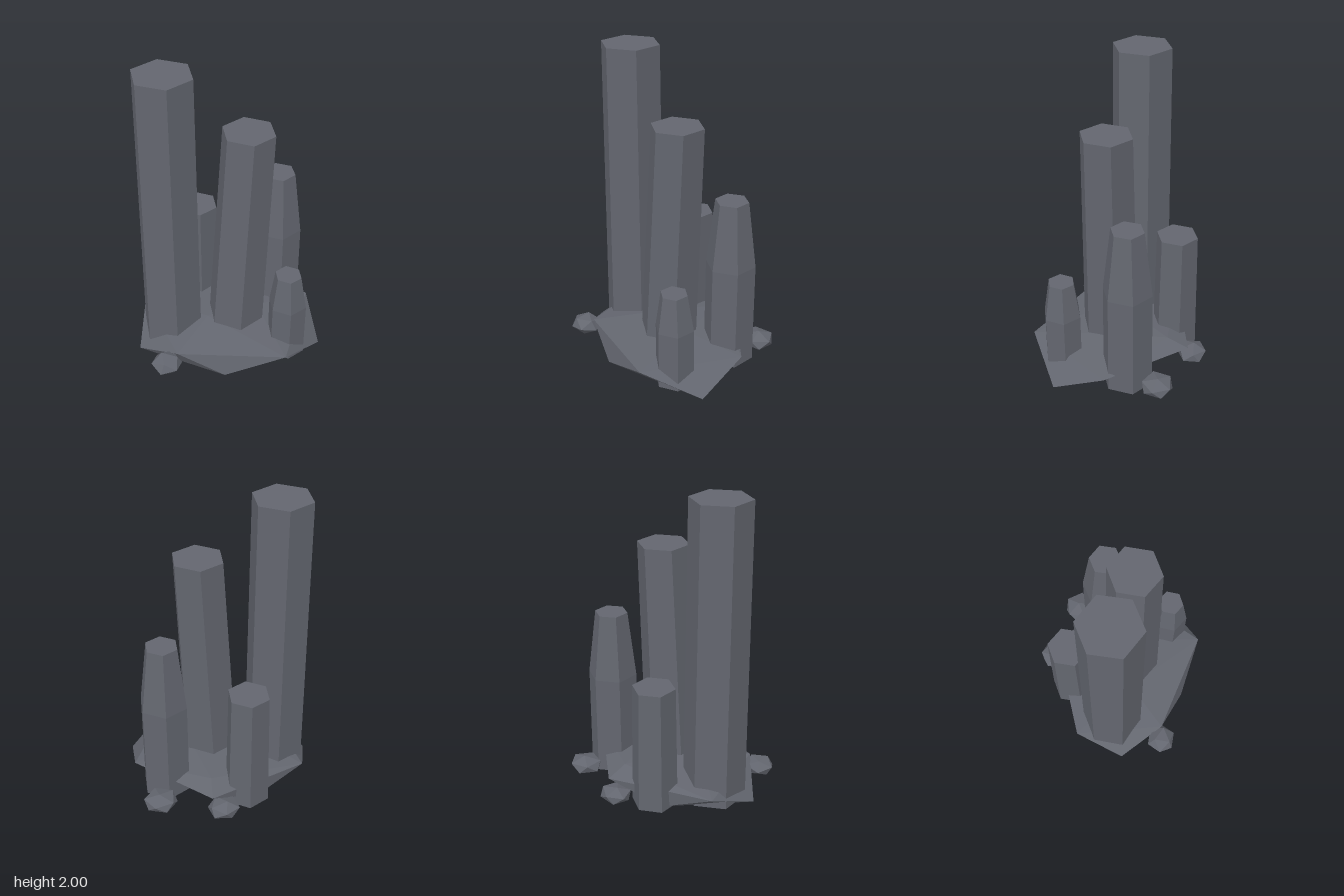
import * as THREE from 'three';
import { ConvexGeometry } from 'three/addons/geometries/ConvexGeometry.js';

const stone = new THREE.MeshStandardMaterial({ color: 0x63666f });
stone.name = 'slate grey stone';

// Facet a geometry so every face is flat
function faceted(geometry) {
  const flat = geometry.index ? geometry.toNonIndexed() : geometry;
  flat.computeVertexNormals();
  return flat;
}

function addPart(group, name, geometry) {
  const mesh = new THREE.Mesh(faceted(geometry), stone);
  mesh.name = name;
  group.add(mesh);
  return mesh;
}

// Six-sided column through rings [x, y, z, radius], listed from bottom to top
function column(rings, degrees) {
  const steps = rings.length - 1;
  const g = new THREE.CylinderGeometry(1, 1, steps, 6, steps);
  g.rotateY(THREE.MathUtils.degToRad(-30 - degrees));
  const p = g.attributes.position;
  for (let i = 0; i < p.count; i++) {
    const [x, y, z, r] = rings[Math.round(p.getY(i) + steps / 2)];
    p.setXYZ(i, x + p.getX(i) * r, y, z + p.getZ(i) * r);
  }
  return g;
}

export function createModel() {
  const group = new THREE.Group();
  group.name = 'stoneColumns';

  // Jagged base slab
  const corners = [
    [-0.615, 0, 0.02], [-0.155, 0.01, 0.45], [0.55, 0, 0.36], [-0.15, 0.015, -0.37],
    [-0.43, 0.15, 0.3], [0.22, 0.165, 0.57], [0.595, 0.15, 0.02],
    [0.19, 0.155, -0.46], [-0.485, 0.14, -0.295],
    [-0.15, 0.21, 0.08], [0.16, 0.2, -0.32], [0.2, 0.205, 0.08],
  ];
  addPart(group, 'baseRock', new ConvexGeometry(corners.map((c) => new THREE.Vector3(...c))));

  // Blunt columns
  addPart(group, 'tallColumn',
    column([[-0.357, 0.02, -0.051, 0.204], [-0.36, 2, -0.047, 0.19]], -22.4));
  addPart(group, 'leaningColumn',
    column([[0.042, 0.03, 0.081, 0.191], [0.12, 1.61, 0.085, 0.168]], -20.6));
  addPart(group, 'backColumn',
    column([[-0.082, 0.02, -0.333, 0.15], [-0.082, 0.845, -0.333, 0.136]], -21));

  // Columns with tapered tips
  addPart(group, 'rightColumn', column([
    [0.405, 0.03, -0.098, 0.163], [0.405, 0.71, -0.097, 0.16], [0.403, 1.145, -0.095, 0.106],
  ], -22));
  addPart(group, 'frontColumn', column([
    [0.313, 0.03, 0.342, 0.127], [0.313, 0.42, 0.344, 0.126], [0.308, 0.66, 0.345, 0.087],
  ], -18));

  // Loose pebbles around the base: position, then size, then turn
  const pebbles = [
    [[-0.503, 0.092, 0.298], [0.105, 0.064, 0.1], 0.4],
    [[0.122, 0.08, -0.48], [0.11, 0.056, 0.1], 1.1],
    [[0.497, 0.082, -0.305], [0.118, 0.056, 0.11], 2.0],
  ];
  pebbles.forEach(([position, size, turn], i) => {
    const g = new THREE.IcosahedronGeometry(1, 0);
    g.rotateX(0.5 + i * 0.3).rotateY(turn).scale(...size);
    addPart(group, `pebble${i + 1}`, g).position.set(...position);
  });

  return group;
}
